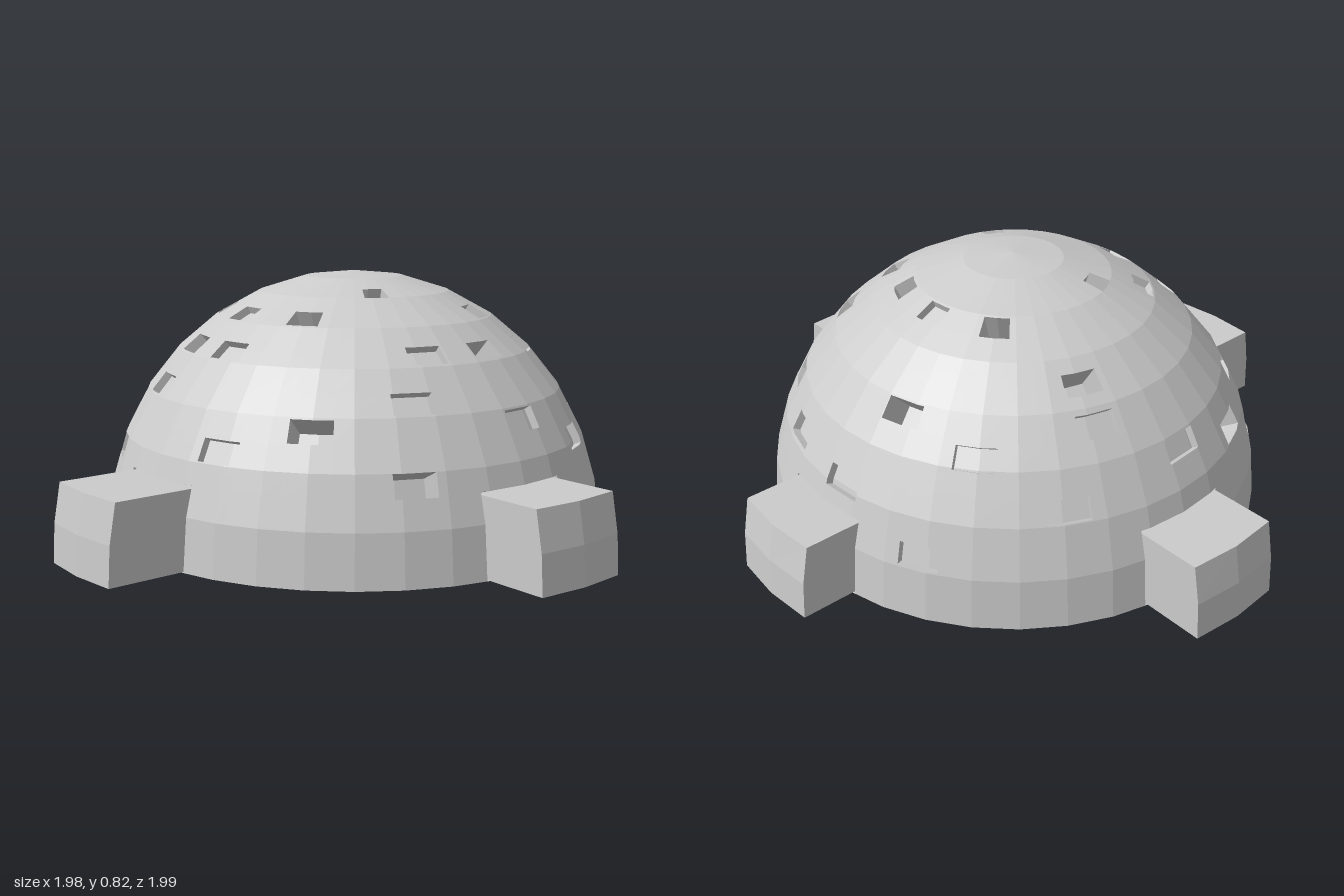
import * as THREE from 'three';

const RAD = Math.PI / 180, R = 0.8, H = 0.82, CZ = -0.035;
const BAND = 11.25, SEG = 10;

// [azimuth from the front in degrees, height, deep?]
const WINDOWS = [
  [-40, 0.2], [-28.6, 0.28, 1], [17.6, 0.35], [39.7, 0.42, 1], [-62, 0.35, 1], [-40, 0.42],
  [-17.5, 0.49], [-17.3, 0.61, 1], [5.9, 0.61], [65, 0.49], [63, 0.28, 1], [-75, 0.12],
  [-40, 0.705], [-5.6, 0.705], [29, 0.705, 1], [63, 0.77, 1], [-62.5, 0.77, 1], [73, 0.61],
  [97, 0.61, 1], [96, 0.42], [119, 0.705], [151.6, 0.74, 1], [-175, 0.74], [-140, 0.74, 1],
  [-163.8, 0.55, 1], [-108.6, 0.63, 1], [-107.8, 0.54], [-118.6, 0.35], [-140.8, 0.48],
  [-152, 0.2], [-174.6, 0.33], [163, 0.36], [141, 0.42], [130, 0.6], [118.6, 0.33], [-85, 0.42],
];

const dir = (az) => [Math.sin(az * RAD), Math.cos(az * RAD)];
const mix = (a, b, t) => a + (b - a) * t;
const wrap = (a) => ((a + 540) % 360 + 360) % 360 - 180;

// Point on the faceted dome, pushed towards its centre by depth d
function domePoint(az, lat, d) {
  const a0 = Math.floor(az / SEG + 1e-6) * SEG, s = (az - a0) / SEG;
  const l0 = Math.min(Math.floor(lat / BAND + 1e-6), 7) * BAND, t = (lat - l0) / BAND;
  const r = R * mix(Math.cos(l0 * RAD), Math.cos((l0 + BAND) * RAD), t);
  const y = H * mix(Math.sin(l0 * RAD), Math.sin((l0 + BAND) * RAD), t);
  const p = dir(a0), q = dir(a0 + SEG), k = 1 - d;
  return [r * mix(p[0], q[0], s) * k, y * k, r * mix(p[1], q[1], s) * k];
}

// Dome skin on a grid that follows facets and openings; cells in an opening sink inwards
function domeGeometry() {
  const openings = WINDOWS.map(([az, y, deep]) => {
    const lat = Math.asin(y / H) / RAD;
    return { az, half: 4 + lat * 0.045, lo: lat - 2.5, hi: lat + 2.5, d: deep ? 0.13 : 0.03 };
  });
  for (const az of [0, 90, 180, -90]) openings.push({ az, half: 12.2, lo: 0, hi: 17.7, d: 0.05 });

  const azs = [], lats = [];
  for (let a = -180; a <= 180; a += SEG) azs.push(a);
  for (let l = 0; l <= 8; l++) lats.push(l * BAND);
  for (const o of openings) {
    azs.push(wrap(o.az - o.half), wrap(o.az + o.half));
    lats.push(o.lo, o.hi);
  }
  const tidy = (list) => list.sort((a, b) => a - b).filter((v, i) => i === 0 || v - list[i - 1] > 1e-5);
  const A = tidy(azs), L = tidy(lats), n = A.length - 1, m = L.length - 1;

  const depth = (i, j) => {
    const a = (A[i] + A[i + 1]) / 2, l = (L[j] + L[j + 1]) / 2;
    const o = openings.find((w) => Math.abs(wrap(a - w.az)) < w.half && l > w.lo && l < w.hi);
    return o ? o.d : 0;
  };
  const pos = [];
  const quad = (a, b, c, d) => pos.push(...a, ...b, ...c, ...a, ...c, ...d);
  for (let i = 0; i < n; i++) {
    for (let j = 0; j < m; j++) {
      const d = depth(i, j), a0 = A[i], a1 = A[i + 1], l0 = L[j], l1 = L[j + 1];
      quad(domePoint(a0, l0, d), domePoint(a1, l0, d), domePoint(a1, l1, d), domePoint(a0, l1, d));
      // Reveals where the depth changes sideways or upwards
      const side = depth((i + 1) % n, j), up = j + 1 < m ? depth(i, j + 1) : d;
      if (side !== d) quad(domePoint(a1, l0, d), domePoint(a1, l0, side), domePoint(a1, l1, side), domePoint(a1, l1, d));
      if (up !== d) quad(domePoint(a0, l1, d), domePoint(a1, l1, d), domePoint(a1, l1, up), domePoint(a0, l1, up));
    }
  }
  const geo = new THREE.BufferGeometry();
  geo.setAttribute('position', new THREE.Float32BufferAttribute(pos, 3));
  geo.computeVertexNormals();
  return geo;
}

// Porch block whose outer face follows a larger sphere
function porchGeometry(reach) {
  const geo = new THREE.BoxGeometry(0.32, 0.24, 0.3, 2, 2, 1);
  geo.translate(0, 0.12, 0);
  const p = geo.attributes.position;
  for (let i = 0; i < p.count; i++) {
    const x = p.getX(i), y = p.getY(i);
    p.setZ(i, p.getZ(i) > 0 ? Math.sqrt(reach * reach - x * x - y * y) : 0.69);
  }
  geo.computeVertexNormals();
  return geo;
}

export function createModel() {
  const model = new THREE.Group();
  const grey = new THREE.MeshStandardMaterial({ color: 0xcccccc, flatShading: true });
  const open = new THREE.MeshStandardMaterial({ color: 0xcccccc, flatShading: true, side: THREE.DoubleSide });
  const add = (name, geo, mat, parent = model) => {
    const mesh = new THREE.Mesh(geo, mat);
    mesh.name = name;
    parent.add(mesh);
    return mesh;
  };

  add('dome', domeGeometry(), open);

  // Four porches; front and back differ as the dome sits a little back
  const reaches = [1.03, 0.99, 0.965, 0.99];
  ['frontPorch', 'leftPorch', 'backPorch', 'rightPorch'].forEach((name, i) => {
    add(name, porchGeometry(reaches[i]), grey).rotation.y = i * Math.PI / 2;
  });

  // Floor with a round recess and four curved slots
  const IN = 0.46, OUT = 0.67, SPAN = 21, SLOT_H = 0.2, HUB = 0.33;
  const points = (r, from, to, step) => {
    const list = [];
    for (let a = from; step > 0 ? a <= to : a >= to; a += step) {
      const [x, z] = dir(a);
      list.push(new THREE.Vector2(x * r, z * r));
    }
    return list;
  };
  const floor = new THREE.Shape(points(R, 0, 350, SEG));
  floor.holes.push(new THREE.Path(points(HUB, 0, 350, SEG)));
  for (let k = 0; k < 4; k++) {
    const mid = 45 + k * 90;
    floor.holes.push(new THREE.Path([
      ...points(OUT, mid - SPAN, mid + SPAN, 7), ...points(IN, mid + SPAN, mid - SPAN, -7),
    ]));
    // Chamber above the slot
    const chamber = new THREE.Group();
    chamber.name = 'floorChamber';
    const profile = [[OUT, 0], [OUT, SLOT_H], [IN, SLOT_H], [IN, 0]].map((v) => new THREE.Vector2(...v));
    add('chamberWalls', new THREE.LatheGeometry(profile, 6, (mid - SPAN) * RAD, 2 * SPAN * RAD), open, chamber);
    for (const s of [-1, 1]) {
      const end = new THREE.PlaneGeometry(OUT - IN, SLOT_H);
      end.translate((OUT + IN) / 2, SLOT_H / 2, 0);
      end.rotateY((mid + s * SPAN - 90) * RAD);
      add('chamberEnd', end, open, chamber);
    }
    model.add(chamber);
  }
  add('floor', new THREE.ShapeGeometry(floor).rotateX(Math.PI / 2), open);
  const hub = [[HUB, 0], [HUB, 0.03], [0, 0.03]].map((v) => new THREE.Vector2(...v));
  add('floorRecess', new THREE.LatheGeometry(hub, 36), open);

  for (const part of model.children) part.position.z = CZ;
  return model;
}
